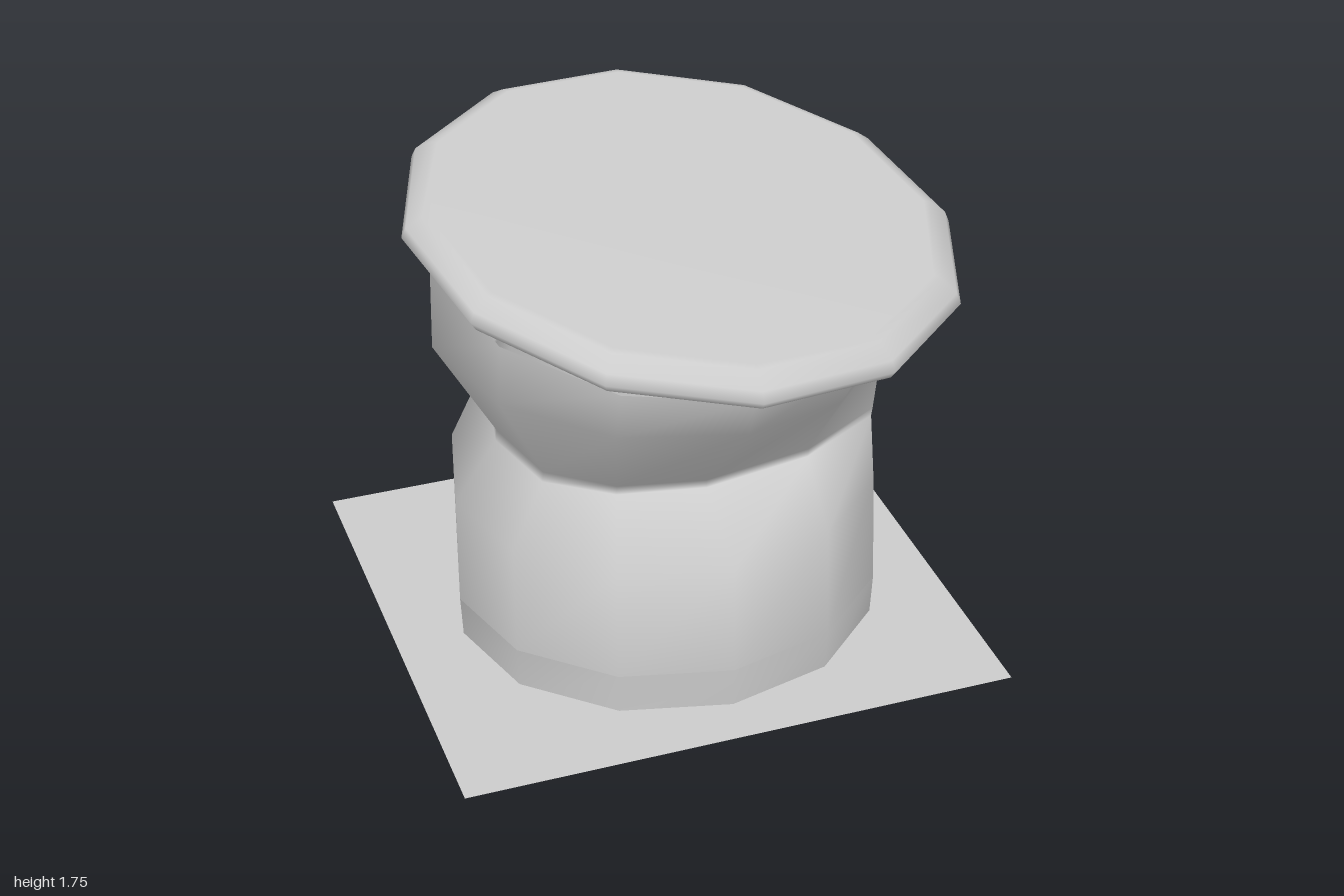
import * as THREE from 'three';

const SIDES = 12;

// Joins loops of points, lowest first, into one skin; optionally fills the first loop.
function skin(loops, capBottom) {
  const pos = loops.flat(2), idx = [];
  for (let r = 0; r < loops.length - 1; r++) {
    for (let i = 0; i < SIDES; i++) {
      const j = (i + 1) % SIDES;
      const a = r * SIDES + i, b = r * SIDES + j;
      idx.push(a, b, b + SIDES, a, b + SIDES, a + SIDES);
    }
  }
  if (capBottom) {
    const base = pos.length / 3;
    loops[0].forEach((p) => pos.push(...p));
    for (let i = 1; i < SIDES - 1; i++) idx.push(base, base + i + 1, base + i);
  }
  const g = new THREE.BufferGeometry();
  g.setAttribute('position', new THREE.Float32BufferAttribute(pos, 3));
  g.setIndex(idx);
  g.computeVertexNormals();
  return g;
}

// A lopsided ring: its reach and height differ at front, back, left (+x) and right (-x).
function ring({ reach, height, flat = 1 }) {
  const [f, b, l, r] = reach, [yf, yb, yl, yr] = height;
  return Array.from({ length: SIDES }, (_, i) => {
    const a = (i / SIDES) * Math.PI * 2, s = Math.sin(a), c = Math.cos(a);
    const z = c > 0 ? f * Math.pow(c, flat) : b * c;
    const y = (c > 0 ? yf : yb) * c * c + (s > 0 ? yl : yr) * s * s;
    return [(s > 0 ? l : r) * s, y, z];
  });
}

export function createModel() {
  const group = new THREE.Group();
  const mat = new THREE.MeshStandardMaterial({ color: 0xcccccc, side: THREE.DoubleSide });
  const add = (name, geo) => {
    const mesh = new THREE.Mesh(geo, mat);
    mesh.name = name;
    group.add(mesh);
    return mesh;
  };

  // Ground plate, pierced by the foot of the can
  const plate = add('groundPlate', new THREE.PlaneGeometry(1.96, 1.83).rotateX(-Math.PI / 2));
  plate.position.set(-0.02, 0.05, -0.045);

  // Foot band
  const foot = ring({ reach: [0.69, 0.81, 0.745, 0.755], height: [0, 0, 0, 0] });
  const bandTop = ring({ reach: [0.7, 0.82, 0.755, 0.765], height: [0.2, 0.2, 0.2, 0.2] });
  add('footBand', skin([foot, bandTop], true));

  // Crumpled body: dented at the front low down, at the back higher up
  const rim = ring({ reach: [0.85, 0.87, 0.85, 0.815], height: [1.36, 1.5, 1.4, 1.53] });
  const rimHeights = [1.36, 1.36, 1.37, 1.4, 1.48, 1.39, 1.5, 1.57, 1.57, 1.53, 1.46, 1.4];
  rim.forEach((p, i) => { p[1] = rimHeights[i]; });
  add('crumpledBody', skin([
    bandTop,
    ring({ reach: [0.69, 0.83, 0.74, 0.765], height: [0.61, 0.61, 0.61, 0.61] }),
    ring({ reach: [0.41, 0.835, 0.755, 0.615], height: [0.76, 0.98, 0.85, 0.83], flat: 0.6 }),
    ring({ reach: [0.41, 0.835, 0.76, 0.61], height: [0.79, 1.01, 0.88, 0.87], flat: 0.6 }),
    ring({ reach: [0.8, 0.7, 0.72, 0.82], height: [1.21, 1.2, 1.15, 1.24] }),
    rim,
  ], false));

  // Tilted lid with a rounded edge
  const profile = [
    [0, -0.07], [0.8, -0.07], [0.82, -0.07], [0.925, -0.025], [0.945, 0.005],
    [0.93, 0.04], [0.875, 0.08], [0.85, 0.085], [0, 0.085],
  ].map(([x, y]) => new THREE.Vector2(x, y));
  const lidGeo = new THREE.LatheGeometry(profile, SIDES, THREE.MathUtils.degToRad(-4));
  lidGeo.translate(0.05, 0, 0.02);
  lidGeo.applyMatrix4(new THREE.Matrix4().set(
    1, 0, 0, 0,
    -0.1, 1, -0.13, 1.54,
    0, 0, 1, 0,
    0, 0, 0, 1,
  ));
  add('lid', lidGeo);

  return group;
}
